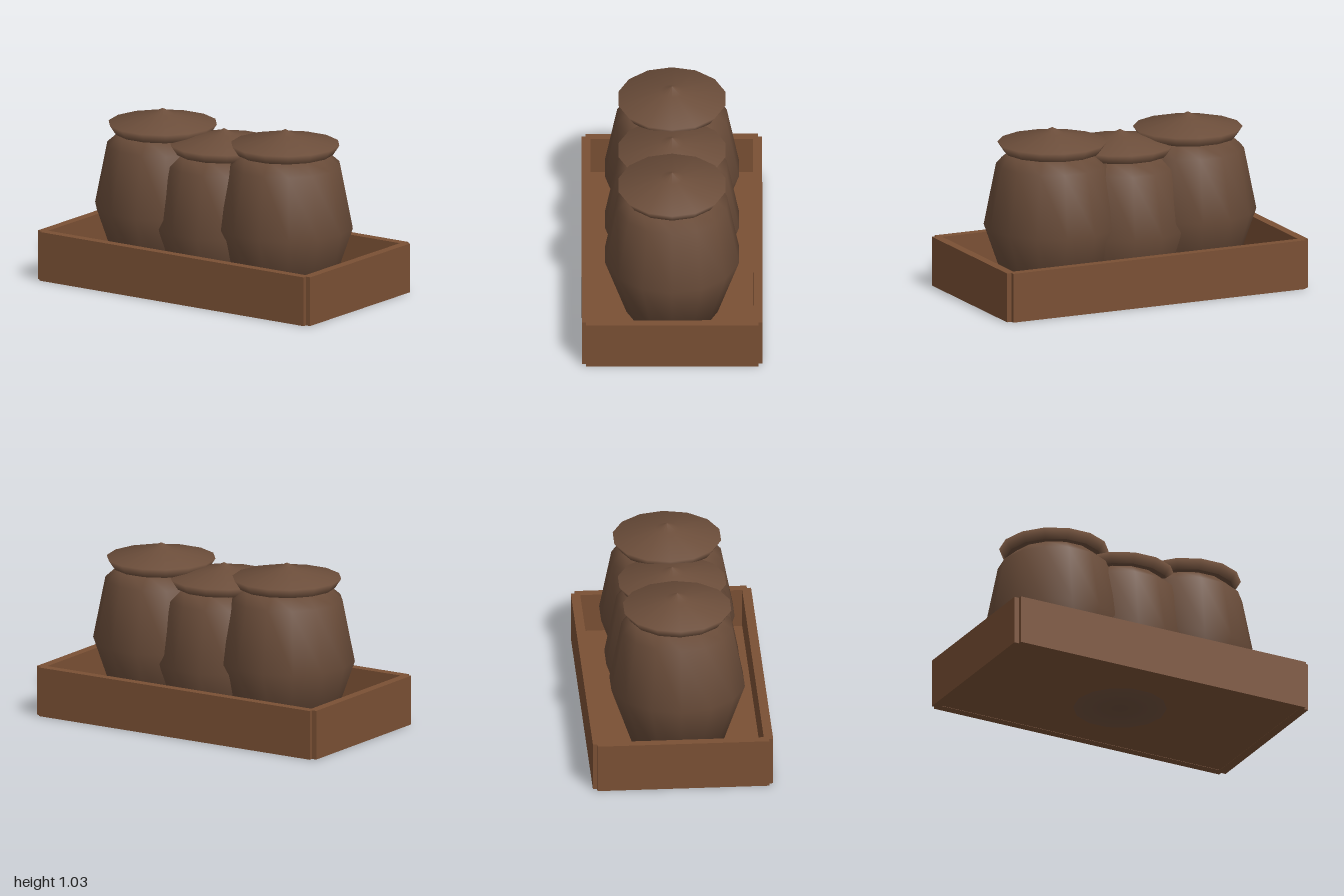
import * as THREE from 'three';

export function createModel() {
  const model = new THREE.Group();
  const wood = new THREE.MeshStandardMaterial({ color: 0x7a5034 });
  wood.name = 'wood';
  const clay = new THREE.MeshStandardMaterial({ color: 0x6b4d3a });
  clay.name = 'clay';

  const board = (name, w, h, d, x, y, z) => {
    const mesh = new THREE.Mesh(new THREE.BoxGeometry(w, h, d), wood);
    mesh.name = name;
    mesh.position.set(x, y, z);
    model.add(mesh);
  };

  // Open tray: floor, long boards and end boards with notched corners
  board('trayFloor', 1.92, 0.056, 1.0, 0, 0.03, 0);
  for (const s of [-1, 1]) {
    board(s > 0 ? 'trayFront' : 'trayBack', 1.94, 0.3, 0.055, 0, 0.15, s * 0.5125);
    board(s > 0 ? 'trayLeftEnd' : 'trayRightEnd', 0.055, 0.3, 1.03, s * 0.9725, 0.15, 0);
  }

  // Fourteen-sided turned shapes, profiles run from bottom to top
  const turned = (profile) => new THREE.LatheGeometry(
    profile.map(([r, y]) => new THREE.Vector2(r, y)), 14, Math.PI / 2);
  const bodyShape = turned([[0, 0], [0.28, 0], [0.41, 0.375], [0.336, 0.75], [0.25, 0.825], [0, 0.825]]);
  const lidShape = turned([[0.29, 0.823], [0.328, 0.88], [0.07, 0.935], [0, 0.97]]);
  const undersideShape = turned([[0, 0.823], [0.29, 0.823]]);

  // Three jars, the middle one standing lower
  const jars = [['rightJar', -0.45, 0.06], ['middleJar', 0, 0], ['leftJar', 0.45, 0.06]];
  for (const [name, x, y] of jars) {
    const jar = new THREE.Group();
    jar.name = name;
    jar.position.set(x, y, 0);
    for (const [part, shape] of [['jarBody', bodyShape], ['jarLid', lidShape], ['lidUnderside', undersideShape]]) {
      const mesh = new THREE.Mesh(shape, clay);
      mesh.name = part;
      jar.add(mesh);
    }
    model.add(jar);
  }
  return model;
}
